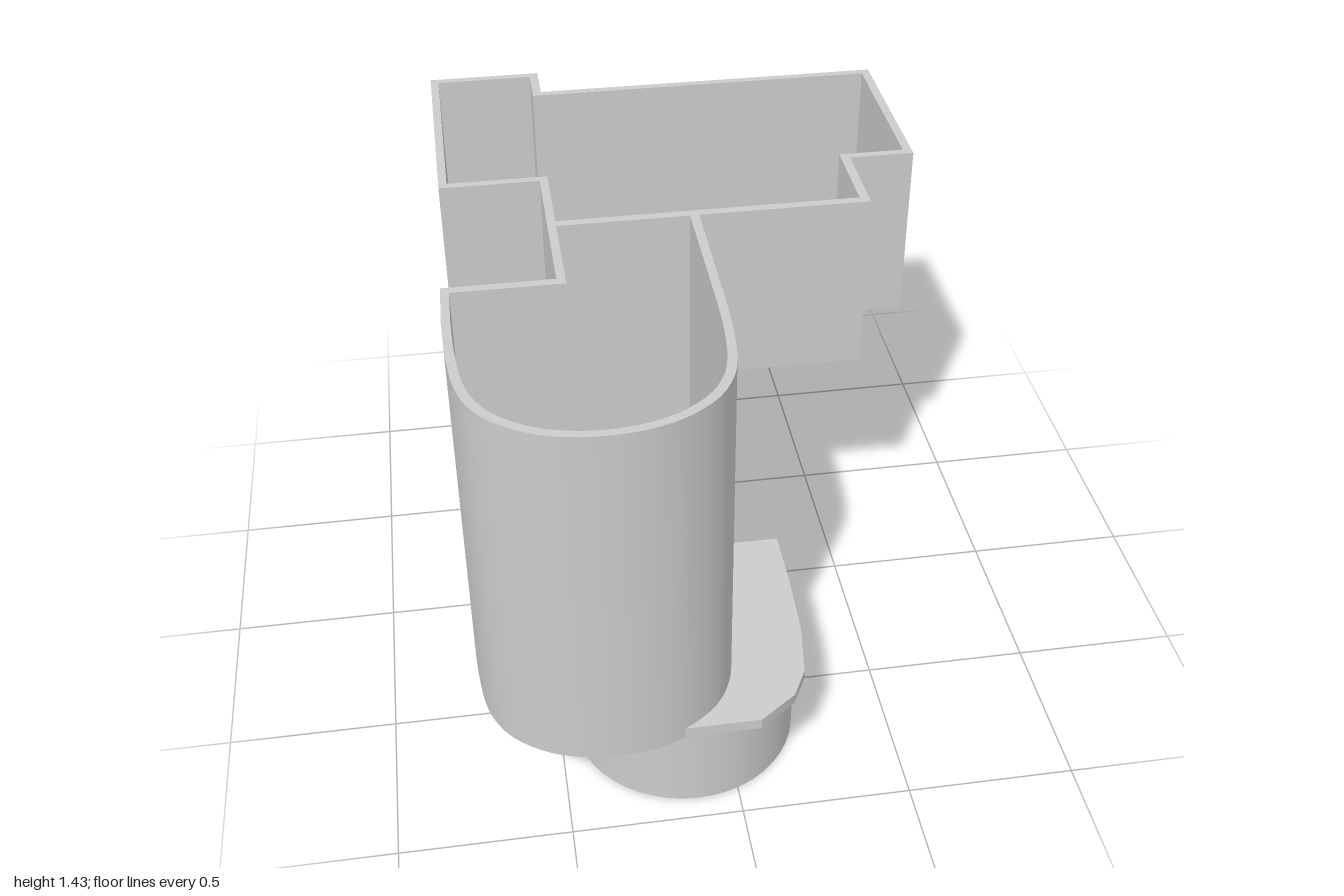
import * as THREE from 'three';
import { toCreasedNormals } from 'three/addons/utils/BufferGeometryUtils.js';

const material = new THREE.MeshStandardMaterial({ color: 0xcccccc });

// Vertical prism from a plan outline of [x, z] points, with optional holes.
// Outlines run clockwise seen from above and are reversed for the extrusion.
function prism(name, outline, y0, y1, holes = []) {
  const toPlan = (pts) => pts.map(([x, z]) => new THREE.Vector2(x, -z)).reverse();
  const shape = new THREE.Shape(toPlan(outline));
  for (const hole of holes) shape.holes.push(new THREE.Path(toPlan(hole).reverse()));
  const geo = new THREE.ExtrudeGeometry(shape, { depth: y1 - y0, bevelEnabled: false });
  geo.rotateX(-Math.PI / 2);
  geo.translate(0, y0, 0);
  const mesh = new THREE.Mesh(toCreasedNormals(geo, 0.6), material);
  mesh.name = name;
  return mesh;
}

const rect = (x0, x1, z0, z1) => [[x0, z0], [x1, z0], [x1, z1], [x0, z1]];

// Rounded front of the tower, from its right-hand straight side round to the left
function roundedFront(inset) {
  const half = [[0.379, 0.45], [0.375, 0.6], [0.36, 0.74], [0.339, 0.81], [0.292, 0.885],
    [0.2, 0.955], [0.1, 0.99]];
  const cx = -0.355, cz = 0.45;
  const pts = [...half, [0, 1], ...half.map(([x, z]) => [-x, z]).reverse()];
  const sx = (0.379 - inset) / 0.379, sz = (0.55 - inset) / 0.55;
  const curve = new THREE.CatmullRomCurve3(
    pts.map(([x, z]) => new THREE.Vector3(cx + x * sx, 0, cz + (z - cz) * sz)));
  return curve.getSpacedPoints(48).map((p) => [p.x, p.z]);
}

export function createModel() {
  const model = new THREE.Group();
  const top = 1.43, trayBase = 0.866, towerBase = 0.3;

  // Stepped tray at the back
  const trayOuter = [[-0.715, -1], [-0.362, -1], [-0.362, -0.858], [0.732, -0.858],
    [0.732, -0.267], [0.533, -0.267], [0.533, 0.003], [-0.415, 0.003], [-0.415, -0.267],
    [-0.715, -0.267]];
  const trayInner = [[-0.69, -0.975], [-0.39, -0.975], [-0.39, -0.833], [0.705, -0.833],
    [0.705, -0.292], [0.505, -0.292], [0.505, -0.025], [-0.39, -0.025], [-0.39, -0.292],
    [-0.69, -0.292]];
  const tray = new THREE.Group();
  tray.name = 'tray';
  tray.add(
    prism('trayWalls', trayOuter, trayBase, top, [trayInner]),
    prism('trayFloor', trayInner, trayBase, trayBase + 0.03),
    prism('raisedTrayFloor', rect(-0.7, -0.405, -0.985, -0.285), trayBase + 0.01, trayBase + 0.06),
  );

  // Tall tower with a rounded front and a narrow neck joining the tray
  const towerOuter = [[-0.415, -0.024], [0.024, -0.024], ...roundedFront(0),
    [-0.73, 0.283], [-0.415, 0.283]];
  const towerInner = [[-0.39, 0.002], [-0.003, 0.002], ...roundedFront(0.025),
    [-0.707, 0.31], [-0.39, 0.31]];
  const tower = new THREE.Group();
  tower.name = 'tower';
  tower.add(
    prism('towerWalls', towerOuter, towerBase, top, [towerInner]),
    prism('towerFloor', towerInner, towerBase, towerBase + 0.04,
      [rect(-0.405, -0.24, 0.508, 0.678)]),
  );

  // Thin ledge beside the tower
  const ledge = prism('ledge', [[0.01, 0.203], [0.247, 0.203], [0.247, 0.4], [0.239, 0.62],
    [0.214, 0.79], [0.167, 0.88], [0.055, 0.96], [-0.19, 0.96], [-0.05, 0.85], [0.0, 0.7]],
  towerBase, 0.335);

  // Round foot
  const foot = new THREE.Mesh(new THREE.CylinderGeometry(0.337, 0.337, towerBase, 48), material);
  foot.name = 'foot';
  foot.position.set(-0.119, towerBase / 2, 0.594);

  model.add(tray, tower, ledge, foot);
  return model;
}
